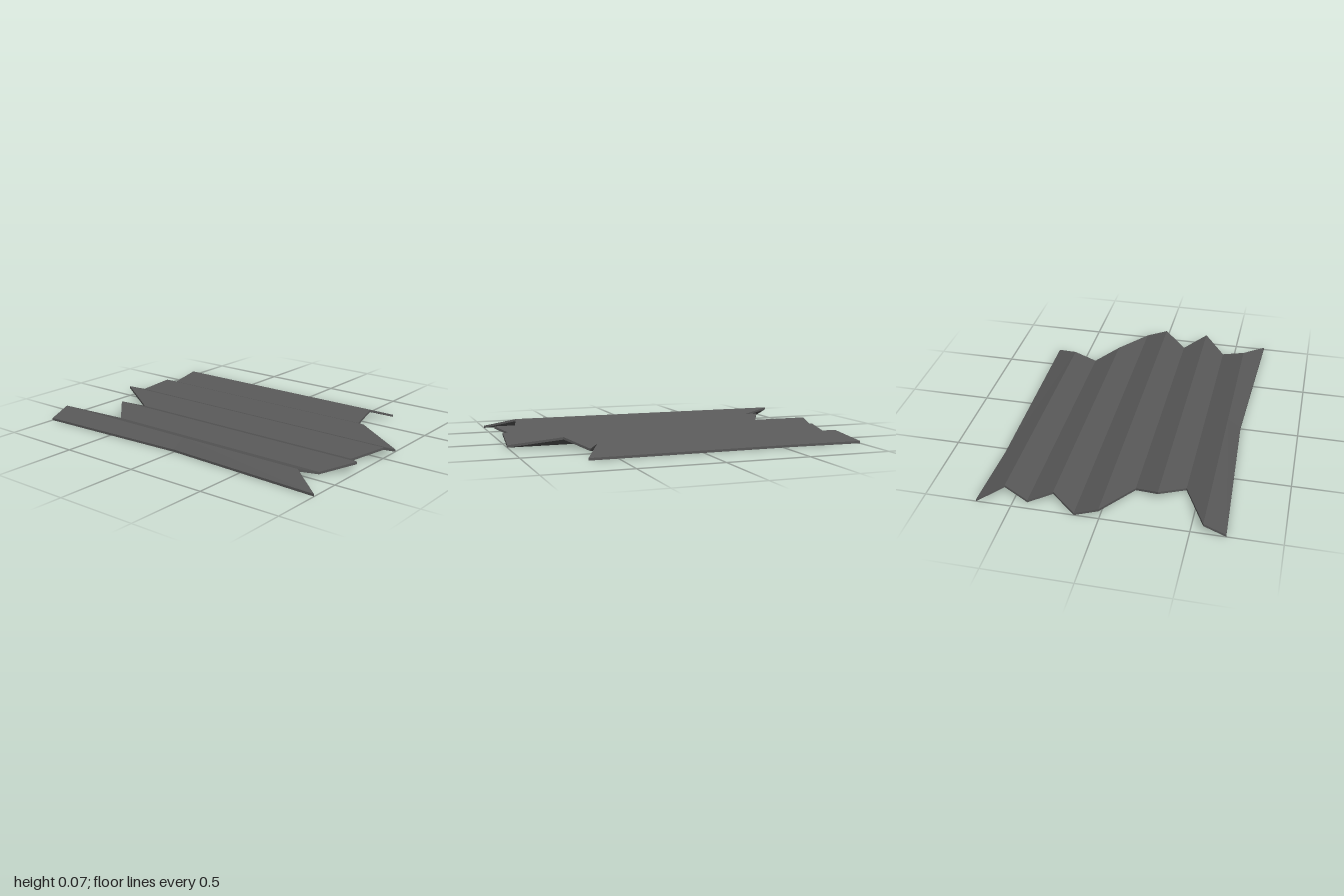
import * as THREE from 'three';

// Fold lines from back to front: z, top height, left end x, right end x
const FOLDS = [
  [-0.70, 0.014, -1.00, 0.67],
  [-0.56, 0.066, -0.91, 0.58],
  [-0.42, 0.014, -0.95, 0.58],
  [-0.28, 0.066, -0.91, 0.70],
  [-0.14, 0.014, -1.00, 1.00],
  [0.00, 0.066, -1.00, 1.00],
  [0.145, 0.014, -0.72, 0.88],
  [0.285, 0.066, -0.79, 1.00],
  [0.425, 0.014, -0.66, 0.85],
  [0.57, 0.066, -1.00, 0.81],
  [0.695, 0.014, -1.00, 1.00],
];
const THICKNESS = 0.014;

export function createModel() {
  const group = new THREE.Group();
  group.name = 'corrugatedSheet';
  const metal = new THREE.MeshStandardMaterial({ color: 0x585858 });
  metal.name = 'dark grey metal';

  // Three points per fold line: left end, middle, right end
  const rows = FOLDS.map(([z, y, left, right]) =>
    [left, 0, right].map((x) => new THREE.Vector3(x, y, z)));
  const last = rows.length - 1;

  // Outer edges are dented inward near the middle
  rows[0][1].set(-0.55, 0.014, -0.683);
  rows[last][1].set(0, 0.014, 0.65);

  const positions = [];
  const quad = (a, b, c, d) => {
    for (const p of [a, b, c, a, c, d]) positions.push(p.x, p.y, p.z);
  };
  const under = (p) => new THREE.Vector3(p.x, p.y - THICKNESS, p.z);

  // Folded top and underside
  for (let i = 0; i < last; i++) {
    for (let j = 0; j < 2; j++) {
      const [a, b, c, d] = [rows[i][j], rows[i + 1][j], rows[i + 1][j + 1], rows[i][j + 1]];
      // Diagonals meet at the fold's middle point
      if (j === 0) {
        quad(b, c, d, a);
        quad(under(d), under(c), under(b), under(a));
        // keep the underside split the same way as the top
      } else {
        quad(a, b, c, d);
        quad(under(a), under(d), under(c), under(b));
      }
    }
  }

  // Thin walls around the ragged outline
  const outline = [
    ...rows.map((r) => r[0]),
    rows[last][1],
    ...rows.map((r) => r[2]).reverse(),
    rows[0][1],
  ];
  outline.forEach((p, i) => {
    const q = outline[(i + 1) % outline.length];
    quad(p, under(p), under(q), q);
  });

  const geometry = new THREE.BufferGeometry();
  geometry.setAttribute('position', new THREE.Float32BufferAttribute(positions, 3));
  geometry.computeVertexNormals();
  const sheet = new THREE.Mesh(geometry, metal);
  sheet.name = 'foldedSheet';
  group.add(sheet);
  return group;
}
